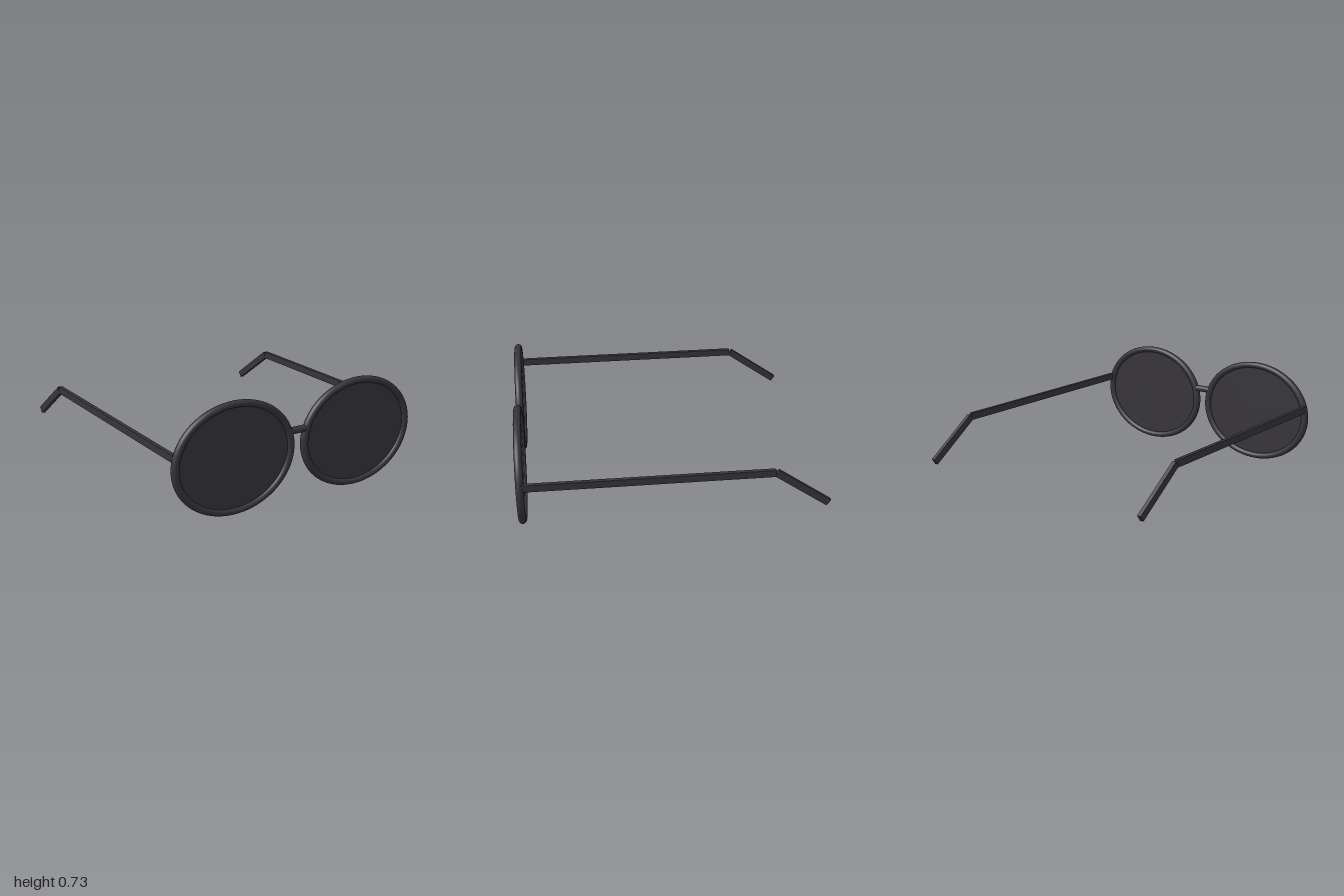
import * as THREE from 'three';

export function createModel() {
  const group = new THREE.Group();
  const charcoal = new THREE.MeshStandardMaterial({ name: 'charcoal', color: 0x37353b });

  const add = (name, geometry, x, y, z) => {
    const mesh = new THREE.Mesh(geometry, charcoal);
    mesh.name = name;
    mesh.position.set(x, y, z);
    group.add(mesh);
    return mesh;
  };

  const OVAL = 0.83;      // height to width ratio of each rim
  const FRONT_Z = 0.975;
  const ARM_X = 0.879, ARM_Y = 0.44, ARM_W = 0.026, ARM_H = 0.048;
  const hinge = new THREE.Vector2(-0.636, 0.44);   // (z, y) where the arm bends
  const end = new THREE.Vector2(-0.986, 0.194);

  for (const [side, s] of [['left', 1], ['right', -1]]) {
    // Oval rim with a round section
    const rim = new THREE.TorusGeometry(0.414, 0.026, 20, 96).scale(1, OVAL, 0.96);
    add(side + 'Rim', rim, s * 0.467, 0.365, FRONT_Z);

    // Thin flat lens, its edge buried in the rim
    const lens = new THREE.CylinderGeometry(0.405, 0.405, 0.012, 96)
      .rotateX(Math.PI / 2).scale(1, OVAL, 1);
    add(side + 'Lens', lens, s * 0.467, 0.365, FRONT_Z);

    // Straight arm
    const front = 0.97, length = front - (-0.63);
    add(side + 'Temple', new THREE.BoxGeometry(ARM_W, ARM_H, length),
      s * ARM_X, ARM_Y, front - length / 2);

    // Ear piece sloping down behind the bend
    const mid = hinge.clone().add(end).multiplyScalar(0.5);
    const tip = add(side + 'EarPiece',
      new THREE.BoxGeometry(ARM_W, ARM_H, hinge.distanceTo(end)), s * ARM_X, mid.y, mid.x);
    tip.rotation.x = -Math.atan2(hinge.y - end.y, hinge.x - end.x);
  }

  // Round bar between the rims
  add('bridge', new THREE.CylinderGeometry(0.023, 0.023, 0.15, 24).rotateZ(Math.PI / 2),
    0, 0.46, FRONT_Z);

  return group;
}
